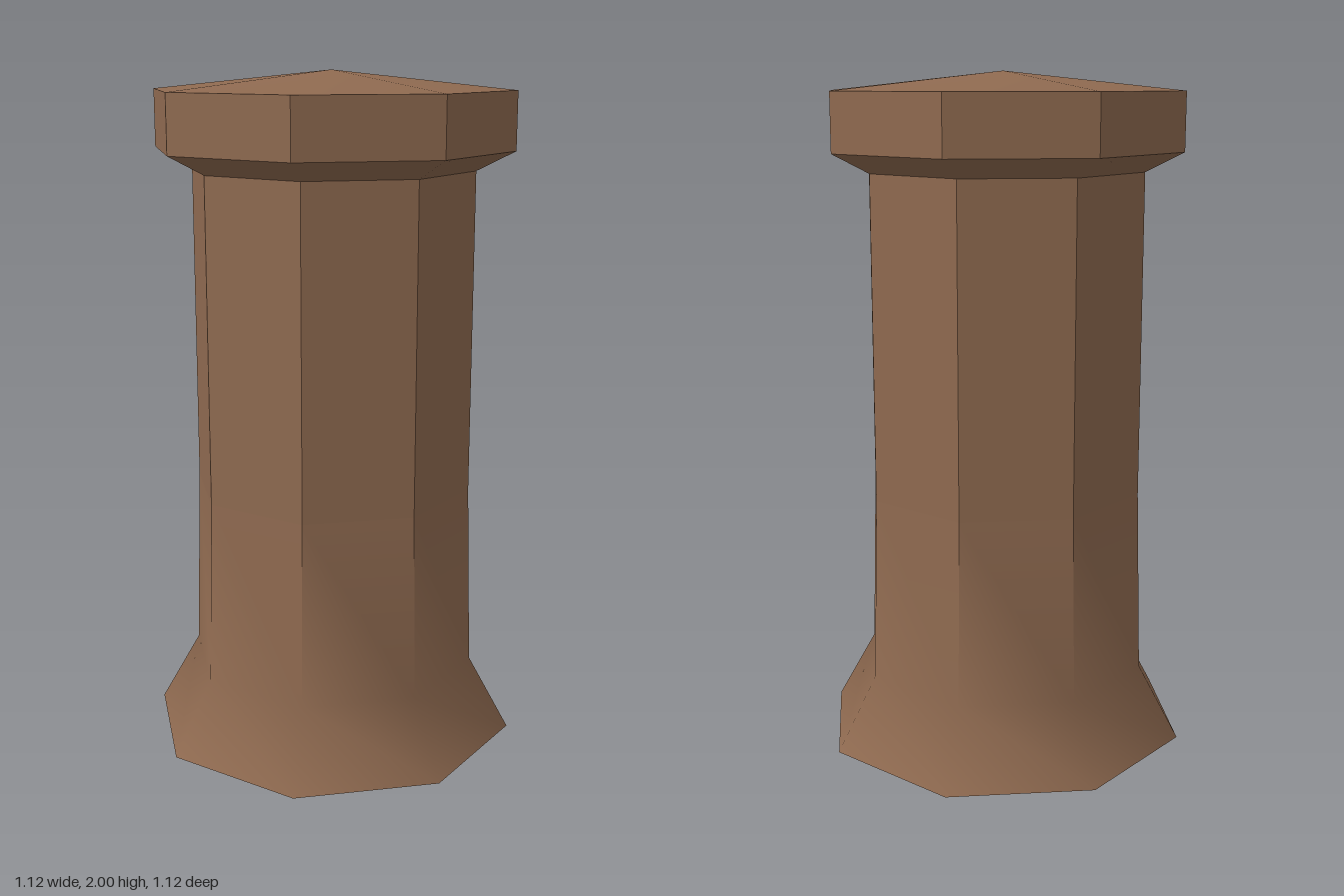
import * as THREE from 'three';

const SIDES = 8;

// Octagonal band turned from a bottom-to-top profile.
// Corners at or above flatFrom get hard facets, those below stay smooth.
function band(profile, flatFrom = Infinity) {
  const points = profile.map(([r, y]) => new THREE.Vector2(r, y));
  const smooth = new THREE.LatheGeometry(points, SIDES).toNonIndexed();
  const facets = smooth.clone();
  facets.computeVertexNormals();
  const pos = smooth.attributes.position;
  const normal = smooth.attributes.normal;
  const flat = facets.attributes.normal;
  for (let i = 0; i < pos.count; i++) {
    if (pos.getY(i) >= flatFrom) normal.setXYZ(i, flat.getX(i), flat.getY(i), flat.getZ(i));
  }
  return smooth;
}

export function createModel() {
  const group = new THREE.Group();
  group.name = 'post';
  // Open-bottomed shell, so both sides show
  const brown = new THREE.MeshStandardMaterial({ color: 0x8f6a50, side: THREE.DoubleSide });
  brown.name = 'brown';

  const add = (name, geometry) => {
    const mesh = new THREE.Mesh(geometry, brown);
    mesh.name = name;
    group.add(mesh);
  };

  // Flared foot blending softly into the faceted shaft
  add('flaredBase', band([[0.56, 0], [0.437, 0.22], [0.421, 0.77]], 0.7));
  add('shaft', band([[0.421, 0.77], [0.421, 1.72]], 0));

  // Overhanging cap with a shallow pointed top
  add('capUnderside', band([[0.421, 1.72], [0.533, 1.777]]));
  add('capRim', band([[0.533, 1.777], [0.533, 1.945]], 0));
  add('capTop', band([[0.533, 1.945], [0, 2]]));

  return group;
}
